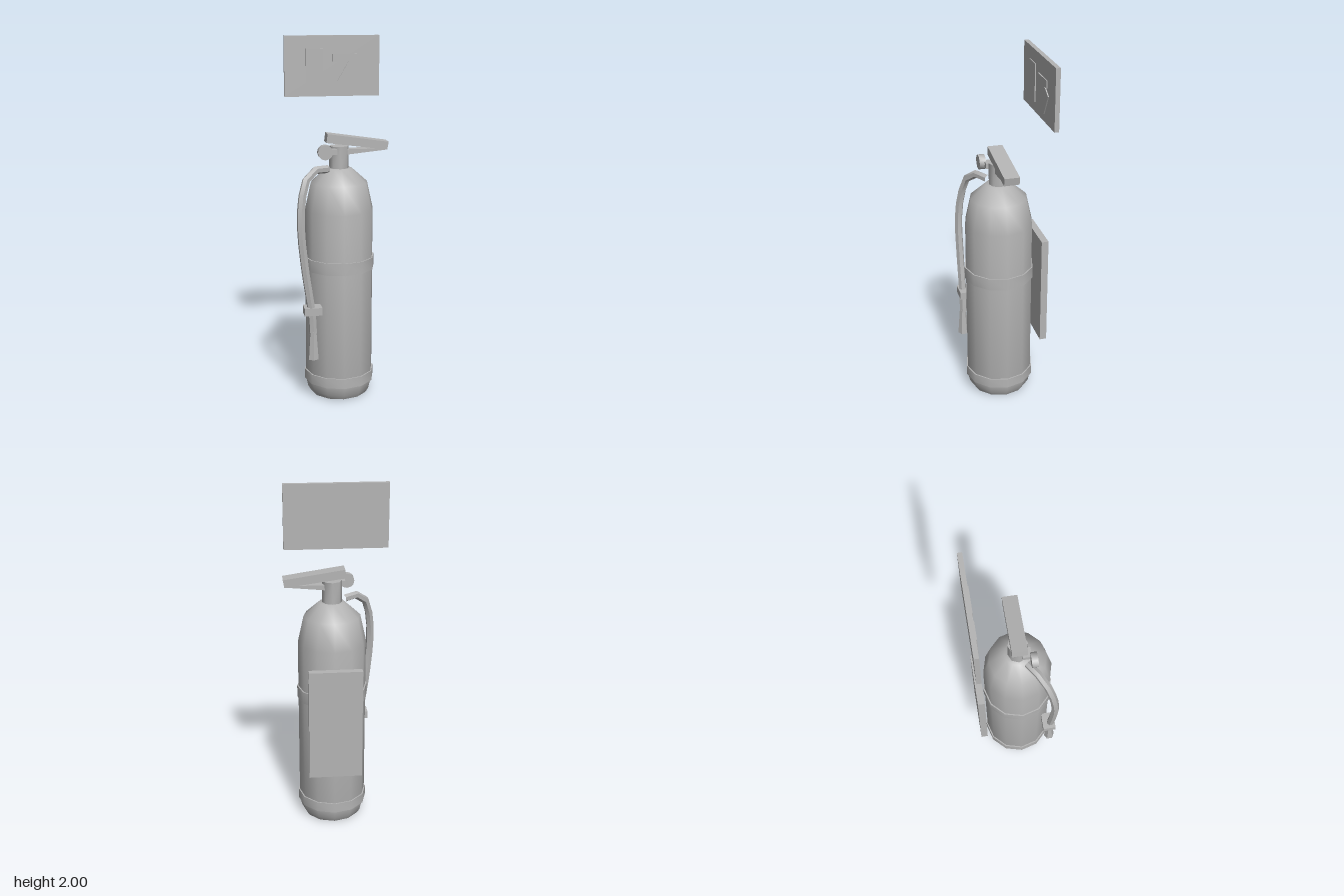
import * as THREE from 'three';
import { toCreasedNormals } from 'three/addons/utils/BufferGeometryUtils.js';

const CZ = 0.017; // depth of the tank axis

export function createModel() {
  const root = new THREE.Group();
  root.name = 'fireExtinguisher';
  const grey = new THREE.MeshStandardMaterial({ color: 0xb4b4b4 });
  grey.name = 'grey';

  const add = (name, geo, pos = [0, 0, 0], crease = 0.9) => {
    const mesh = new THREE.Mesh(toCreasedNormals(geo, crease), grey);
    mesh.name = name;
    mesh.position.set(...pos);
    root.add(mesh);
    return mesh;
  };
  // box given by its limits on each axis
  const box = (name, [x0, x1], [y0, y1], [z0, z1]) =>
    add(name, new THREE.BoxGeometry(x1 - x0, y1 - y0, z1 - z0),
      [(x0 + x1) / 2, (y0 + y1) / 2, (z0 + z1) / 2]);
  const lathe = (name, pts, sides) =>
    add(name, new THREE.LatheGeometry(pts.map(p => new THREE.Vector2(...p)), sides), [0, 0, CZ]);
  // side outline in x and y, extruded across z
  const slab = (name, pts, width) => {
    const shape = new THREE.Shape(pts.map(p => new THREE.Vector2(...p)));
    const geo = new THREE.ExtrudeGeometry(shape, { depth: width, bevelEnabled: false });
    return add(name, geo, [0, 0, CZ - width / 2]);
  };

  // Tank with rounded shoulder
  lathe('tank', [[0, 0], [0.162, 0.003], [0.178, 0.03], [0.19, 0.08], [0.19, 1.07],
    [0.157, 1.22], [0.07, 1.298], [0, 1.3]], 12);

  // Retaining bands
  for (const [y0, y1] of [[0.08, 0.137], [0.737, 0.805]])
    lathe('band', [[0.185, y0], [0.197, y0], [0.197, y1], [0.185, y1]], 12);

  // Valve neck, fixed grip and squeeze lever
  add('valveNeck', new THREE.CylinderGeometry(0.054, 0.054, 0.14, 8), [0, 1.35, CZ]);
  slab('lowerGrip', [[0.02, 1.372], [0.255, 1.395], [0.255, 1.403], [0.02, 1.403]], 0.06);
  slab('squeezeLever', [[-0.075, 1.442], [0.26, 1.397], [0.268, 1.44], [-0.069, 1.49]], 0.083);

  // Pressure gauge and its stem
  add('gauge', new THREE.CylinderGeometry(0.041, 0.041, 0.035, 12).rotateX(Math.PI / 2), [-0.088, 1.397, 0.09]);
  box('gaugeStem', [-0.075, -0.02], [1.38, 1.41], [0.03, 0.08]);

  // Hose
  const path = new THREE.CatmullRomCurve3([
    [-0.07, 1.3, 0.06], [-0.14, 1.305, 0.105], [-0.198, 1.26, 0.145], [-0.229, 1.14, 0.175],
    [-0.235, 1.0, 0.19], [-0.215, 0.78, 0.19], [-0.18, 0.53, 0.187], [-0.173, 0.41, 0.187],
  ].map(p => new THREE.Vector3(...p)));
  add('hose', new THREE.TubeGeometry(path, 12, 0.022, 6), [0, 0, 0], 0.6);
  box('hoseClip', [-0.222, -0.125], [0.52, 0.563], [0.14, 0.213]);

  // Flared nozzle
  add('nozzle', new THREE.CylinderGeometry(0.019, 0.031, 0.16, 6), [-0.173, 0.345, 0.19], 0.6);

  // Plates on the wall behind the tank
  box('backPlate', [-0.147, 0.147], [0.345, 0.98], [-0.228, -0.189]);
  box('signBoard', [-0.268, 0.268], [1.665, 2], [-0.228, -0.203]);

  // Raised shapes on the sign
  const raised = [-0.203, -0.197];
  box('signPanel', [-0.148, -0.052], [1.72, 1.93], raised);
  box('signBar', [0, 0.14], [1.857, 1.898], raised);
  const tilted = box('signTiltedPanel', [0.058, 0.143], [1.722, 1.852], raised);
  tilted.rotation.z = -Math.PI / 6;

  return root;
}
